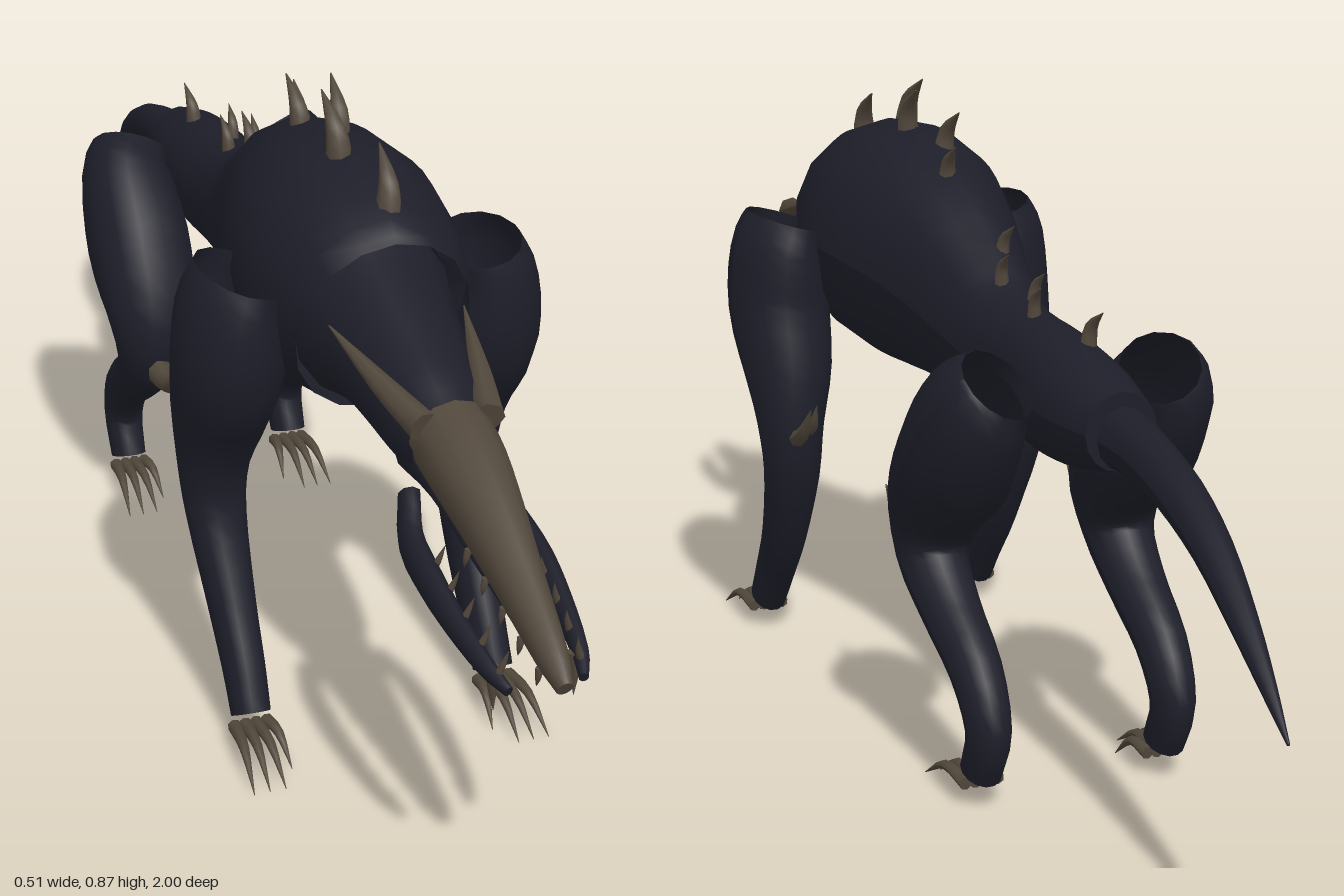
import * as THREE from 'three';

const hide = new THREE.MeshStandardMaterial({ color: 0x1e1e2a, side: THREE.DoubleSide });
hide.name = 'dark hide';
const bone = new THREE.MeshStandardMaterial({ color: 0x52483c, side: THREE.DoubleSide });
bone.name = 'bone';

// Skin of elliptical rings along a path; each station is [x, y, z, half width, half height]
function loft(name, stations, material, { sides = 14, steps = 3, caps = [0, 1] } = {}) {
  const path = new THREE.CatmullRomCurve3(stations.map(s => new THREE.Vector3(s[0], s[1], s[2])), false, 'catmullrom', 0.5);
  const size = new THREE.CatmullRomCurve3(stations.map(s => new THREE.Vector3(s[3], s[4] ?? s[3], 0)), false, 'catmullrom', 0.5);
  const rings = (stations.length - 1) * steps;
  const pos = [], index = [], row = sides + 1;
  const addRing = (t) => {
    const p = path.getPoint(t), r = size.getPoint(t), dir = path.getTangent(t);
    const side = new THREE.Vector3(1, 0, 0).addScaledVector(dir, -dir.x).normalize();
    const up = new THREE.Vector3().crossVectors(dir, side);
    for (let j = 0; j <= sides; j++) {
      const a = ((j % sides) / sides) * Math.PI * 2;
      const v = p.clone().addScaledVector(side, Math.cos(a) * r.x).addScaledVector(up, Math.sin(a) * r.y);
      pos.push(v.x, v.y, v.z);
    }
    return p;
  };
  for (let i = 0; i <= rings; i++) addRing(i / rings);
  for (let i = 0; i < rings; i++) for (let j = 0; j < sides; j++) {
    const a = i * row + j, b = a + 1, c = a + row, d = c + 1;
    index.push(a, b, c, b, d, c);
  }
  for (const t of caps) {
    const start = pos.length / 3, p = addRing(t), mid = pos.length / 3;
    pos.push(p.x, p.y, p.z);
    for (let j = 0; j < sides; j++) {
      if (t) index.push(mid, start + j, start + j + 1);
      else index.push(mid, start + j + 1, start + j);
    }
  }
  const g = new THREE.BufferGeometry();
  g.setAttribute('position', new THREE.Float32BufferAttribute(pos, 3));
  g.setIndex(index);
  g.computeVertexNormals();
  const mesh = new THREE.Mesh(g, material);
  mesh.name = name;
  return mesh;
}

// Curved pointed piece through three points
function spike(name, a, b, c, r) {
  return loft(name, [[...a, r], [...b, r * 0.7], [...c, r * 0.05]], bone, { sides: 7, steps: 3 });
}

// Station from top and bottom heights
const slab = (z, top, bottom, w, x = -0.005) => [x, (top + bottom) / 2, z, w, (top - bottom) / 2];

// Four hooked claws fanned out from the end of a leg
function claws(name, x, z, s) {
  const g = new THREE.Group();
  g.name = name;
  for (let i = 0; i < 4; i++) {
    const o = (i - 1.5) * 0.02, len = i === 0 ? 0.08 : 0.12;
    const px = x + s * o * 0.75, tx = x + s * o * 1.1;
    g.add(spike('claw', [px, 0.034, z], [(px + tx) / 2, 0.038, z + len * 0.5], [tx, 0.004, z + len], 0.0095));
  }
  return g;
}

// Legs are open at the top, the rim tilted in towards the body
function frontLeg(s) {
  const g = new THREE.Group();
  g.name = s > 0 ? 'leftFrontLeg' : 'rightFrontLeg';
  g.add(loft('foreLimb', [
    [s * 0.165, 0.667, 0.305, 0.056, 0.085], [s * 0.178, 0.62, 0.305, 0.067, 0.092],
    [s * 0.179, 0.54, 0.3, 0.074, 0.09], [s * 0.179, 0.45, 0.263, 0.066, 0.07],
    [s * 0.183, 0.37, 0.243, 0.05, 0.052], [s * 0.181, 0.29, 0.248, 0.042, 0.043],
    [s * 0.177, 0.18, 0.3, 0.033, 0.042], [s * 0.176, 0.105, 0.35, 0.029, 0.038],
    [s * 0.177, 0.05, 0.385, 0.027, 0.033],
  ], hide, { caps: [1] }));
  g.add(spike('elbowSpur', [s * 0.188, 0.35, 0.22], [s * 0.188, 0.37, 0.175], [s * 0.186, 0.415, 0.14], 0.015));
  g.add(spike('elbowSpurSmall', [s * 0.168, 0.36, 0.215], [s * 0.167, 0.38, 0.187], [s * 0.167, 0.413, 0.168], 0.011));
  g.add(claws('frontClaws', s * 0.178, 0.385, s));
  return g;
}

function hindLeg(s) {
  const g = new THREE.Group();
  g.name = s > 0 ? 'leftHindLeg' : 'rightHindLeg';
  g.add(loft('hindLimb', [
    [s * 0.115, 0.577, -0.385, 0.055, 0.058], [s * 0.133, 0.54, -0.358, 0.067, 0.082],
    [s * 0.134, 0.46, -0.293, 0.077, 0.094], [s * 0.134, 0.38, -0.228, 0.07, 0.07],
    [s * 0.139, 0.305, -0.22, 0.05, 0.052], [s * 0.138, 0.245, -0.28, 0.041, 0.043],
    [s * 0.136, 0.185, -0.365, 0.035, 0.04], [s * 0.135, 0.115, -0.405, 0.03, 0.036],
    [s * 0.135, 0.05, -0.38, 0.027, 0.034],
  ], hide, { caps: [1] }));
  g.add(spike('kneeSpur', [s * 0.14, 0.3, -0.16], [s * 0.14, 0.305, -0.11], [s * 0.14, 0.35, -0.045], 0.02));
  g.add(claws('hindClaws', s * 0.134, -0.38, s));
  return g;
}

function head() {
  const g = new THREE.Group();
  g.name = 'head';
  g.position.x = -0.008;
  g.add(loft('skull', [
    [0, 0.578, 0.645, 0.052, 0.054], [0, 0.562, 0.71, 0.049, 0.052], [0, 0.532, 0.79, 0.039, 0.045],
    [0, 0.492, 0.88, 0.028, 0.033], [0, 0.456, 0.96, 0.019, 0.023], [0, 0.436, 0.998, 0.01, 0.012],
  ], bone, { sides: 12 }));
  g.add(loft('palate', [
    [0, 0.55, 0.6, 0.055, 0.055], [0, 0.53, 0.68, 0.042, 0.028], [0, 0.49, 0.79, 0.028, 0.014], [0, 0.445, 0.93, 0.01, 0.01],
  ], hide, { sides: 10 }));
  for (const s of [-1, 1]) {
    g.add(spike('horn', [s * 0.042, 0.605, 0.665], [s * 0.064, 0.625, 0.58], [s * 0.09, 0.655, 0.465], 0.02));
    g.add(loft('jaw', [
      [s * 0.052, 0.508, 0.65, 0.014, 0.02], [s * 0.068, 0.473, 0.7, 0.016, 0.026],
      [s * 0.071, 0.458, 0.77, 0.016, 0.024], [s * 0.067, 0.441, 0.84, 0.014, 0.019],
      [s * 0.058, 0.424, 0.91, 0.011, 0.013], [s * 0.046, 0.412, 0.95, 0.006, 0.007],
    ], hide, { sides: 8 }));
    // Teeth rising from the jaw and hanging from the snout
    for (let i = 0; i < 5; i++) {
      const t = i / 4, z = 0.76 + t * 0.17;
      const jx = s * (0.063 - 0.012 * t * t), jy = 0.468 - 0.044 * t;
      g.add(spike('lowerTooth', [jx, jy, z], [jx * 0.9, jy + 0.016, z + 0.003], [jx * 0.83, jy + 0.034, z + 0.008], 0.005));
      const ux = s * (0.032 - 0.018 * t), uy = 0.505 - 0.062 * t, uz = z + 0.03;
      g.add(spike('upperTooth', [ux, uy, uz], [ux * 1.1, uy - 0.013, uz], [ux * 1.1, uy - 0.026, uz - 0.004], 0.005));
    }
    g.add(spike('fang', [s * 0.05, 0.425, 0.915], [s * 0.051, 0.4, 0.916], [s * 0.05, 0.368, 0.918], 0.009));
  }
  return g;
}

export function createModel() {
  const model = new THREE.Group();
  model.name = 'spinedBeast';

  // Deep chest narrowing to the waist and hips, open around the neck
  model.add(loft('body', [
    slab(0.41, 0.752, 0.475, 0.118), slab(0.36, 0.788, 0.47, 0.134), slab(0.27, 0.812, 0.463, 0.148),
    slab(0.17, 0.803, 0.46, 0.138), slab(0.07, 0.765, 0.46, 0.11), slab(-0.03, 0.705, 0.46, 0.084),
    slab(-0.12, 0.653, 0.457, 0.067), slab(-0.22, 0.632, 0.453, 0.06), slab(-0.32, 0.625, 0.45, 0.066),
    slab(-0.42, 0.607, 0.46, 0.064), slab(-0.5, 0.585, 0.48, 0.05),
  ], hide, { sides: 16, caps: [1] }));

  model.add(loft('neck', [
    slab(0.37, 0.738, 0.49, 0.108), slab(0.44, 0.706, 0.508, 0.09), slab(0.53, 0.67, 0.508, 0.076),
    slab(0.6, 0.643, 0.5, 0.065), slab(0.65, 0.62, 0.505, 0.053),
  ], hide));

  model.add(loft('tail', [
    [-0.008, 0.525, -0.46, 0.04, 0.045], [-0.008, 0.52, -0.56, 0.033, 0.038], [-0.006, 0.497, -0.66, 0.03, 0.034],
    [0, 0.458, -0.76, 0.025, 0.027], [0.012, 0.405, -0.86, 0.018, 0.019], [0.022, 0.355, -0.94, 0.01, 0.011],
    [0.028, 0.31, -1, 0.002, 0.002],
  ], hide, { sides: 12 }));

  // Backward-curving spines, set alternately off the midline: [z, base height, length]
  const spines = [[0.4, 0.765, 0.075], [0.285, 0.8, 0.075], [0.215, 0.8, 0.07], [0.135, 0.78, 0.067], [0.06, 0.75, 0.06],
    [-0.08, 0.672, 0.048], [-0.135, 0.648, 0.045], [-0.19, 0.634, 0.042], [-0.245, 0.628, 0.042], [-0.365, 0.612, 0.05]];
  spines.forEach(([z, y, h], i) => {
    const x = i % 2 ? -0.02 : 0.002, lean = x < -0.01 ? -0.1 : 0.1;
    model.add(spike('backSpine', [x, y - 0.01, z], [x + lean * h * 0.5, y + h * 0.5, z - h * 0.1],
      [x + lean * h, y + h, z - h * 0.7], h * 0.25));
  });

  model.add(head());
  for (const s of [-1, 1]) model.add(frontLeg(s), hindLeg(s));
  return model;
}
